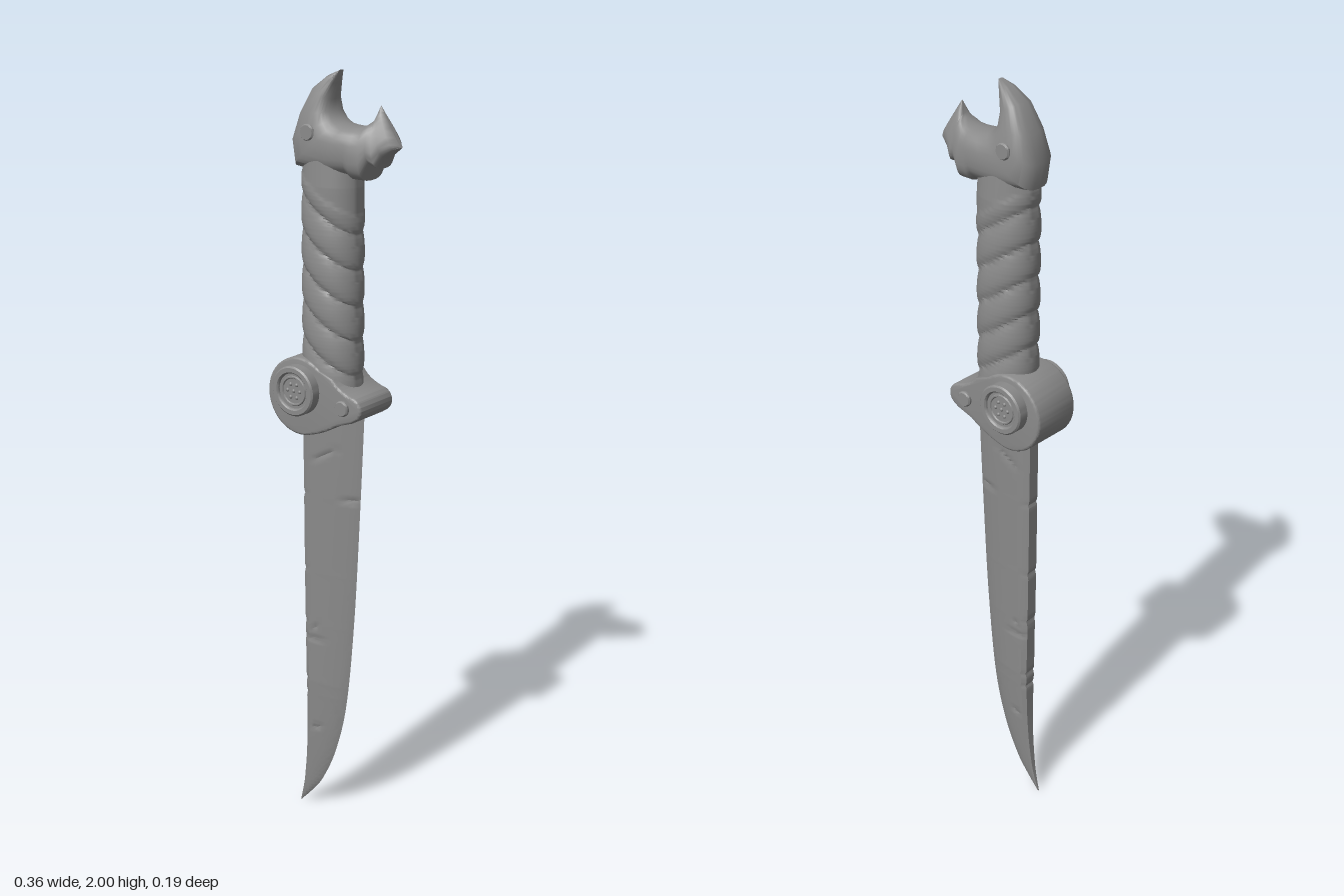
import * as THREE from 'three';
import { toCreasedNormals } from 'three/addons/utils/BufferGeometryUtils.js';

const darkGrey = new THREE.MeshStandardMaterial({ color: 0x8a8a8a });

function addMesh(parent, name, geometry) {
  const mesh = new THREE.Mesh(geometry, darkGrey);
  mesh.name = name;
  parent.add(mesh);
  return mesh;
}

// Skin a closed solid over rings of [x, y, z] points, capping both ends.
function loft(rings, crease) {
  const n = rings[0].length;
  const pts = rings.flat();
  const tris = [];
  for (let r = 0; r < rings.length - 1; r++) {
    for (let i = 0; i < n; i++) {
      const a = r * n + i, b = r * n + (i + 1) % n;
      tris.push([a, b, b + n], [a, b + n, a + n]);
    }
  }
  [rings[0], rings[rings.length - 1]].forEach((ring, end) => {
    const start = end ? (rings.length - 1) * n : 0;
    const c = pts.push([0, 1, 2].map(k => ring.reduce((s, p) => s + p[k], 0) / n)) - 1;
    for (let i = 0; i < n; i++) {
      const a = start + i, b = start + (i + 1) % n;
      tris.push(end ? [a, b, c] : [b, a, c]);
    }
  });
  // Turn the faces outward if the enclosed volume is negative
  const v = i => new THREE.Vector3(...pts[i]);
  const volume = tris.reduce((s, [a, b, c]) => s + v(a).dot(v(b).cross(v(c))), 0);
  if (volume < 0) tris.forEach(t => t.reverse());
  const geometry = new THREE.BufferGeometry();
  geometry.setAttribute('position', new THREE.Float32BufferAttribute(pts.flat(), 3));
  geometry.setIndex(tris.flat());
  geometry.computeVertexNormals();
  return toCreasedNormals(geometry, crease);
}

// Piecewise linear lookup in [key, value] pairs
function lookup(table, k) {
  for (let i = 1; i < table.length; i++) {
    const [k0, v0] = table[i - 1], [k1, v1] = table[i];
    if (k <= k1) return v0 + (v1 - v0) * (k - k0) / (k1 - k0);
  }
  return table[table.length - 1][1];
}

// Curved wedge blade with a flat spine, worn nicks and scratches
function bladeGeometry() {
  const curve = points => new THREE.SplineCurve(points.map(p => new THREE.Vector2(p[1], p[0])))
    .getPoints(80).map(p => [p.y, p.x]);
  const spine = curve([[0.005, -0.14], [0.05, -0.128], [0.1, -0.119], [0.2, -0.109], [0.35, -0.105], [0.7, -0.108], [1.2, -0.11]]);
  const edge = curve([[0.005, -0.138], [0.05, -0.098], [0.1, -0.062], [0.2, -0.018], [0.35, 0.018], [0.6, 0.043], [0.9, 0.06], [1.2, 0.074]]);
  // Scratches: x, y, half length, slope
  const scratches = [[-0.04, 1.045, 0.035, 0.6], [0.035, 0.935, 0.03, 0.1], [-0.075, 0.525, 0.035, 0],
    [-0.07, 0.56, 0.012, 1], [-0.07, 0.26, 0.015, 0.4]];
  const nicks = [0.36, 0.4, 0.57, 0.72, 0.93];
  const across = [0, 0.1, 0.17, 0.25, 0.33, 0.41, 0.49, 0.57, 0.65, 0.73, 0.81, 0.89, 0.95];
  const rings = [];
  for (let r = 0; r <= 170; r++) {
    const y = 0.005 + 1.195 * Math.pow(r / 170, 1.15);
    const nick = nicks.reduce((s, n) => s + 0.004 * Math.exp(-(((y - n) / 0.006) ** 2)), 0);
    const x0 = lookup(spine, y) + nick, x1 = lookup(edge, y);
    const thick = 0.023 * Math.min(1, Math.pow(y / 0.4, 0.6));
    const half = across.map(u => {
      const x = x0 + (x1 - x0) * u;
      let z = thick * (u < 0.1 ? 0.68 : Math.pow(1 - u ** 2.6, 0.85));
      for (const [sx, sy, len, slope] of scratches) {
        const dy = y - sy - slope * (x - sx);
        z -= 0.004 * Math.exp(-((dy / 0.006) ** 2) - ((x - sx) / len) ** 4);
      }
      return [x, y, Math.max(z, 0.0008)];
    });
    rings.push([...half, [x1, y, 0], ...half.slice().reverse().map(([x, yy, z]) => [x, yy, -z])]);
  }
  return loft(rings, 0.5);
}

// Oval grip bound with overlapping slanted wraps
function gripGeometry() {
  const rings = [];
  for (let r = 0; r <= 130; r++) {
    const y = 1.23 + 0.57 * r / 130;
    const ring = [];
    for (let i = 0; i < 40; i++) {
      const a = i / 40 * Math.PI * 2;
      const phase = y + 0.65 * 0.08 * Math.cos(a);
      const p = (phase / 0.088 + 100) % 1;
      const wrap = phase < 1.715 ? 0.17 * (Math.pow(Math.sin(Math.PI * Math.pow(p, 0.7)), 0.5) - 0.85) : -0.01;
      const s = 1 + wrap - (y > 1.73 ? (y - 1.73) * 1.2 : 0);
      ring.push([-0.025 + 0.082 * (1 + (s - 1) * 0.5) * Math.cos(a), y, 0.064 * s * Math.sin(a)]);
    }
    rings.push(ring);
  }
  return loft(rings, 0.9);
}

// Open-jawed pommel: rounded sections swept from the horn round to the jaw
function pommelGeometry() {
  // outer x, y, inner x, y, half depth, narrowing towards the inner side
  const sections = [
    [0, 2, 0, 1.996, 0.008, 0], [-0.03, 1.987, -0.01, 1.968, 0.024, 0],
    [-0.07, 1.957, -0.018, 1.932, 0.038, 0], [-0.104, 1.895, -0.014, 1.905, 0.05, 0],
    [-0.126, 1.83, 0, 1.888, 0.058, 0], [-0.116, 1.768, 0.015, 1.88, 0.061, 0],
    [-0.02, 1.758, 0.035, 1.876, 0.062, 0], [0.045, 1.762, 0.055, 1.875, 0.062, 0.05],
    [0.058, 1.752, 0.068, 1.876, 0.061, 0.1], [0.09, 1.752, 0.085, 1.88, 0.059, 0.2],
    [0.108, 1.79, 0.1, 1.89, 0.056, 0.35], [0.125, 1.783, 0.106, 1.897, 0.053, 0.5],
    [0.14, 1.81, 0.111, 1.912, 0.046, 0.65], [0.165, 1.828, 0.114, 1.922, 0.033, 0.75],
    [0.177, 1.835, 0.116, 1.927, 0.007, 0.8],
  ];
  const power = v => Math.sign(v) * Math.pow(Math.abs(v), 0.75);
  const rings = sections.map(([ox, oy, ix, iy, d, pinch]) => Array.from({ length: 28 }, (_, i) => {
    const a = i / 28 * Math.PI * 2, t = 0.5 + 0.5 * power(Math.cos(a));
    return [ox + (ix - ox) * t, oy + (iy - oy) * t, d * (1 - pinch * t) * power(Math.sin(a))];
  }));
  return loft(rings, 0.7);
}

// Teardrop guard plate
function guardGeometry() {
  const s = new THREE.Shape();
  s.absarc(-0.08, 1.205, 0.094, 0.85, 4.9, false);
  s.quadraticCurveTo(-0.01, 1.125, 0.035, 1.155);
  s.lineTo(0.08, 1.171);
  s.absarc(0.079, 1.2, 0.025, -0.9, 1.2, false);
  s.quadraticCurveTo(0.04, 1.235, 0.02, 1.262);
  const g = new THREE.ExtrudeGeometry(s, {
    depth: 0.124, curveSegments: 32, bevelSize: 0.006, bevelThickness: 0.006, bevelSegments: 3,
  });
  g.translate(0, 0, -0.062);
  return toCreasedNormals(g, 0.6);
}

// Round fitting whose axis points along +z
function turned(profile) {
  const g = new THREE.LatheGeometry(profile.map(p => new THREE.Vector2(...p)), 40);
  return toCreasedNormals(g.rotateX(Math.PI / 2), 0.6);
}

export function createModel() {
  const model = new THREE.Group();
  model.name = 'dagger';
  addMesh(model, 'blade', bladeGeometry());
  addMesh(model, 'guard', guardGeometry());
  addMesh(model, 'grip', gripGeometry());
  addMesh(model, 'pommel', pommelGeometry());

  const medallion = turned([[0.064, 0.05], [0.064, 0.093], [0.06, 0.097], [0.049, 0.097],
    [0.046, 0.094], [0.045, 0.089], [0.039, 0.089], [0.037, 0.092], [0.034, 0.092], [0.032, 0.089], [0, 0.089]]);
  const rivet = turned([[0.02, 0], [0.02, 0.026], [0.017, 0.03], [0, 0.03]]);
  const stud = new THREE.SphereGeometry(0.005, 10, 8);

  // Matching fittings on both faces
  for (const side of [1, -1]) {
    const fittings = new THREE.Group();
    fittings.name = side > 0 ? 'frontFittings' : 'backFittings';
    const place = (name, geometry, x, y, z) => {
      const mesh = addMesh(fittings, name, geometry);
      mesh.position.set(side * x, y, z);
    };
    place('medallion', medallion, -0.08, 1.225, 0);
    for (let i = 0; i < 7; i++) {
      const a = i / 6 * Math.PI * 2, r = i < 6 ? 0.019 : 0;
      place('medallionStud', stud, -0.08 + r * Math.cos(a), 1.225 + r * Math.sin(a), 0.088);
    }
    place('guardRivet', rivet, 0.056, 1.2, 0.047);
    place('pommelRivet', rivet, -0.057, 1.857, 0.033);
    if (side < 0) fittings.rotation.y = Math.PI;
    model.add(fittings);
  }
  return model;
}
